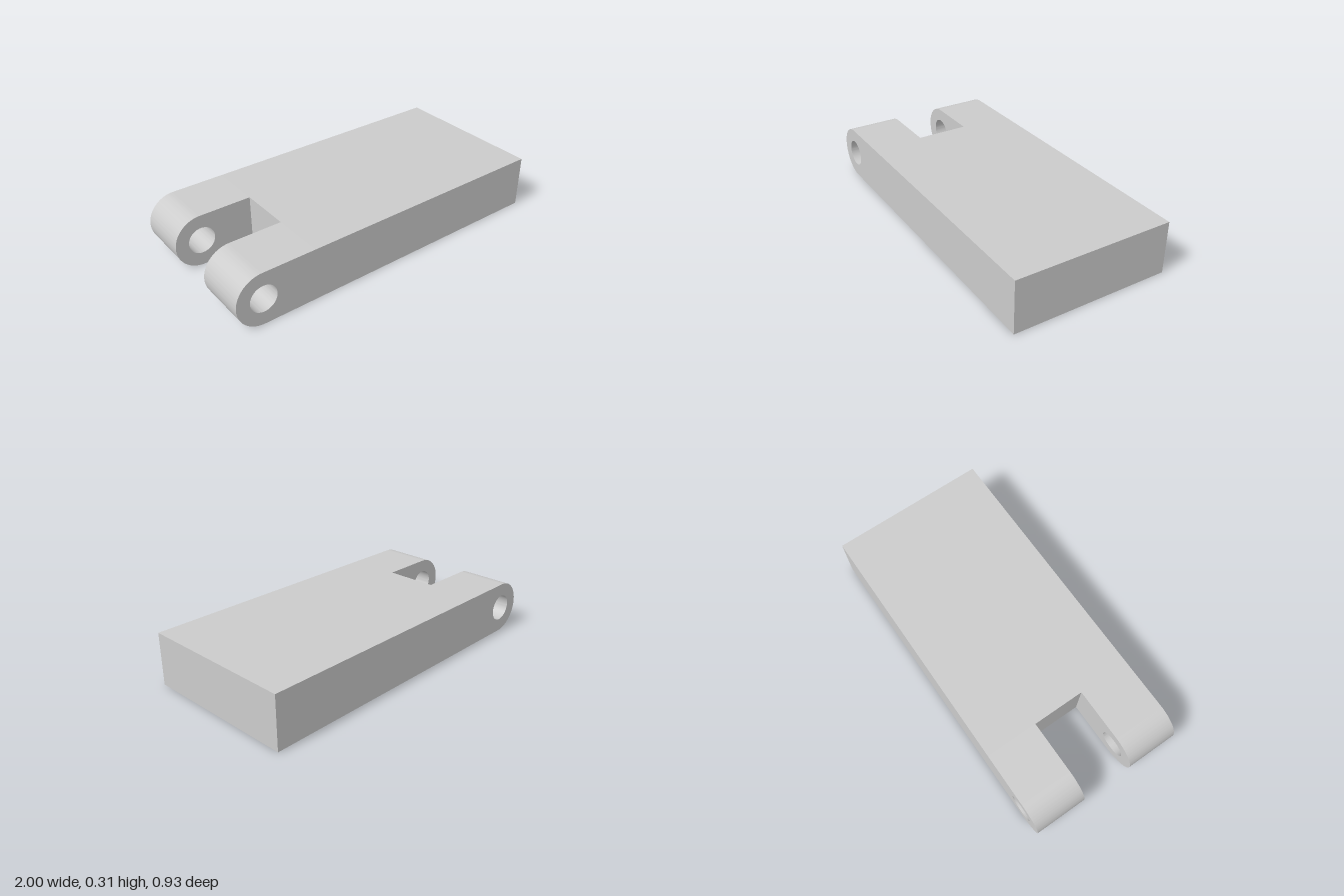
import * as THREE from 'three';
import { toCreasedNormals } from 'three/addons/utils/BufferGeometryUtils.js';

const HEIGHT = 0.312, RADIUS = HEIGHT / 2, HALF_DEPTH = 0.467;
const SLOT_HALF = 0.156, SLOT_END = -0.533;
const PIN_X = -1 + RADIUS, PIN_RADIUS = 0.079;

export function createModel() {
  const group = new THREE.Group();
  group.name = 'clevisBlock';
  const material = new THREE.MeshStandardMaterial({ color: 0xcccccc });

  // Solid rectangular body behind the slot
  const length = 1 - SLOT_END;
  const body = new THREE.Mesh(new THREE.BoxGeometry(length, HEIGHT, 2 * HALF_DEPTH), material);
  body.name = 'body';
  body.position.set(SLOT_END + length / 2, RADIUS, 0);
  group.add(body);

  // Round-ended lug profile with a pin hole
  const profile = new THREE.Shape();
  profile.moveTo(SLOT_END, 0);
  profile.lineTo(SLOT_END, HEIGHT);
  profile.lineTo(PIN_X, HEIGHT);
  profile.absarc(PIN_X, RADIUS, RADIUS, Math.PI / 2, Math.PI * 1.5, false);
  profile.closePath();
  const hole = new THREE.Path();
  hole.absarc(PIN_X, RADIUS, PIN_RADIUS, 0, Math.PI * 2, true);
  profile.holes.push(hole);

  const lugGeometry = toCreasedNormals(
    new THREE.ExtrudeGeometry(profile, {
      depth: HALF_DEPTH - SLOT_HALF, bevelEnabled: false, curveSegments: 32,
    }),
    Math.PI / 6,
  );

  // One lug on each side of the slot
  for (const [name, z] of [['frontLug', SLOT_HALF], ['backLug', -HALF_DEPTH]]) {
    const lug = new THREE.Mesh(lugGeometry, material);
    lug.name = name;
    lug.position.z = z;
    group.add(lug);
  }
  return group;
}
